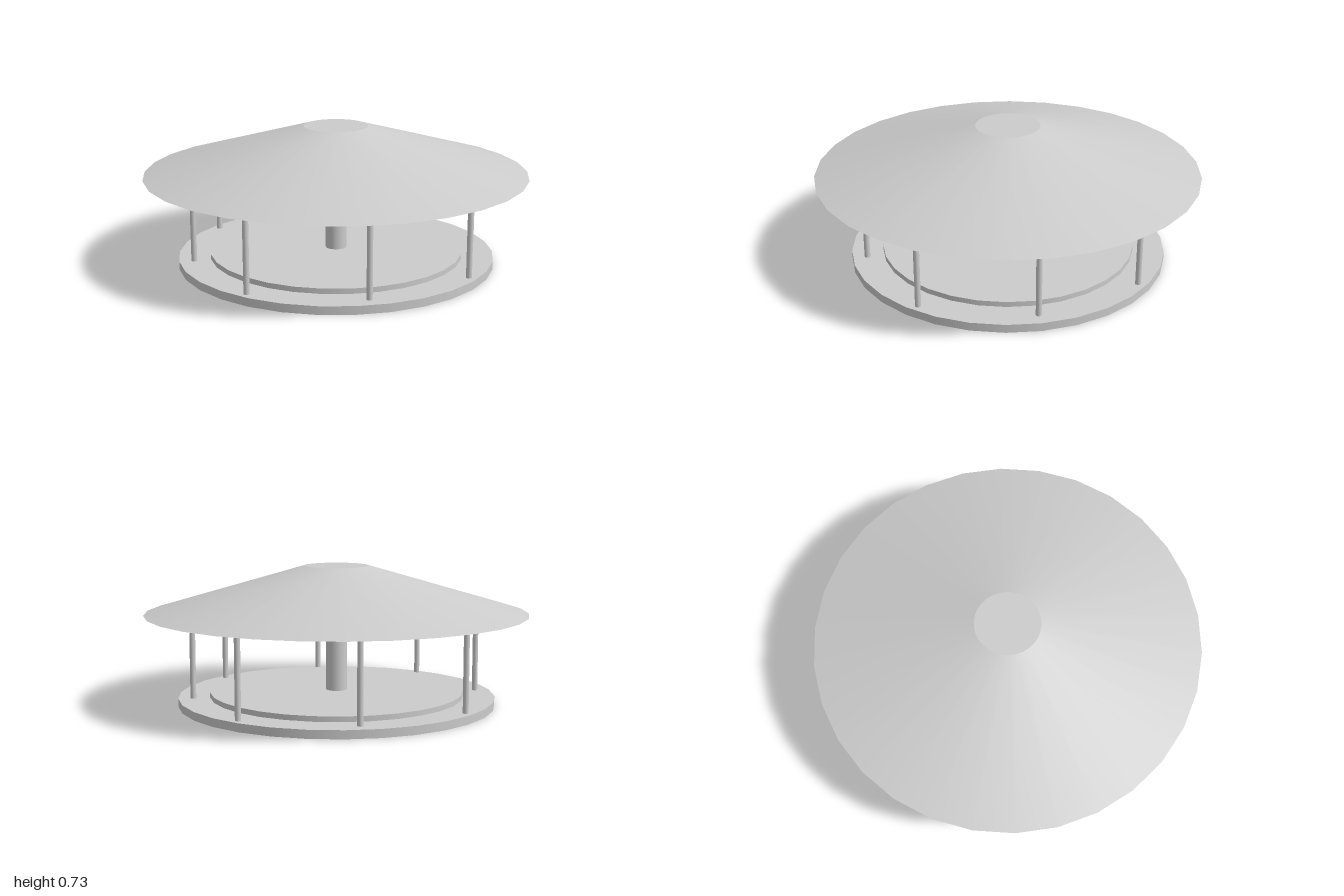
import * as THREE from 'three';

const SIDES = 30;
const grey = new THREE.MeshStandardMaterial({ color: 0xcccccc });
const dark = new THREE.MeshStandardMaterial({ color: 0x040404, side: THREE.BackSide });

export function createModel() {
  const model = new THREE.Group();

  const add = (name, geometry, material = grey) => {
    const mesh = new THREE.Mesh(geometry, material);
    mesh.name = name;
    model.add(mesh);
    return mesh;
  };

  // Upright round part between two heights, with a corner on the x axis
  const drum = (rTop, rBottom, y0, y1, sides = SIDES, open = false) =>
    new THREE.CylinderGeometry(rTop, rBottom, y1 - y0, sides, 1, open)
      .rotateY(Math.PI / 2)
      .translate(0, (y0 + y1) / 2, 0);

  // Round floor with a raised step
  add('base', drum(0.83, 0.83, 0, 0.043));
  add('platform', drum(0.665, 0.665, 0.043, 0.07));

  // Central column reaching up to the ceiling
  add('centralColumn', drum(0.055, 0.055, 0.07, 0.67, 20));

  // Eight posts, those on the axes set slightly further in
  for (let i = 0; i < 8; i++) {
    const angle = (i * Math.PI) / 4;
    const radius = i % 2 ? 0.786 : 0.752;
    const post = add('post', drum(0.015, 0.015, 0.043, 0.487, 12));
    post.position.set(Math.cos(angle) * radius, 0, Math.sin(angle) * radius);
  }

  // Hollow roof: sloping cover, flat crown, flat eaves and dark ceiling
  add('roofCover', drum(0.168, 1, 0.48, 0.725, SIDES, true));
  add('roofCrown', new THREE.CircleGeometry(0.168, SIDES)
    .rotateX(-Math.PI / 2).translate(0, 0.725, 0));
  add('roofEaves', new THREE.RingGeometry(0.8, 1, SIDES)
    .rotateX(Math.PI / 2).translate(0, 0.48, 0));
  add('ceilingSlope', drum(0.14, 0.8, 0.48, 0.67, SIDES, true), dark);
  add('ceilingCentre', new THREE.CircleGeometry(0.14, SIDES)
    .rotateX(-Math.PI / 2).translate(0, 0.67, 0), dark);

  return model;
}
